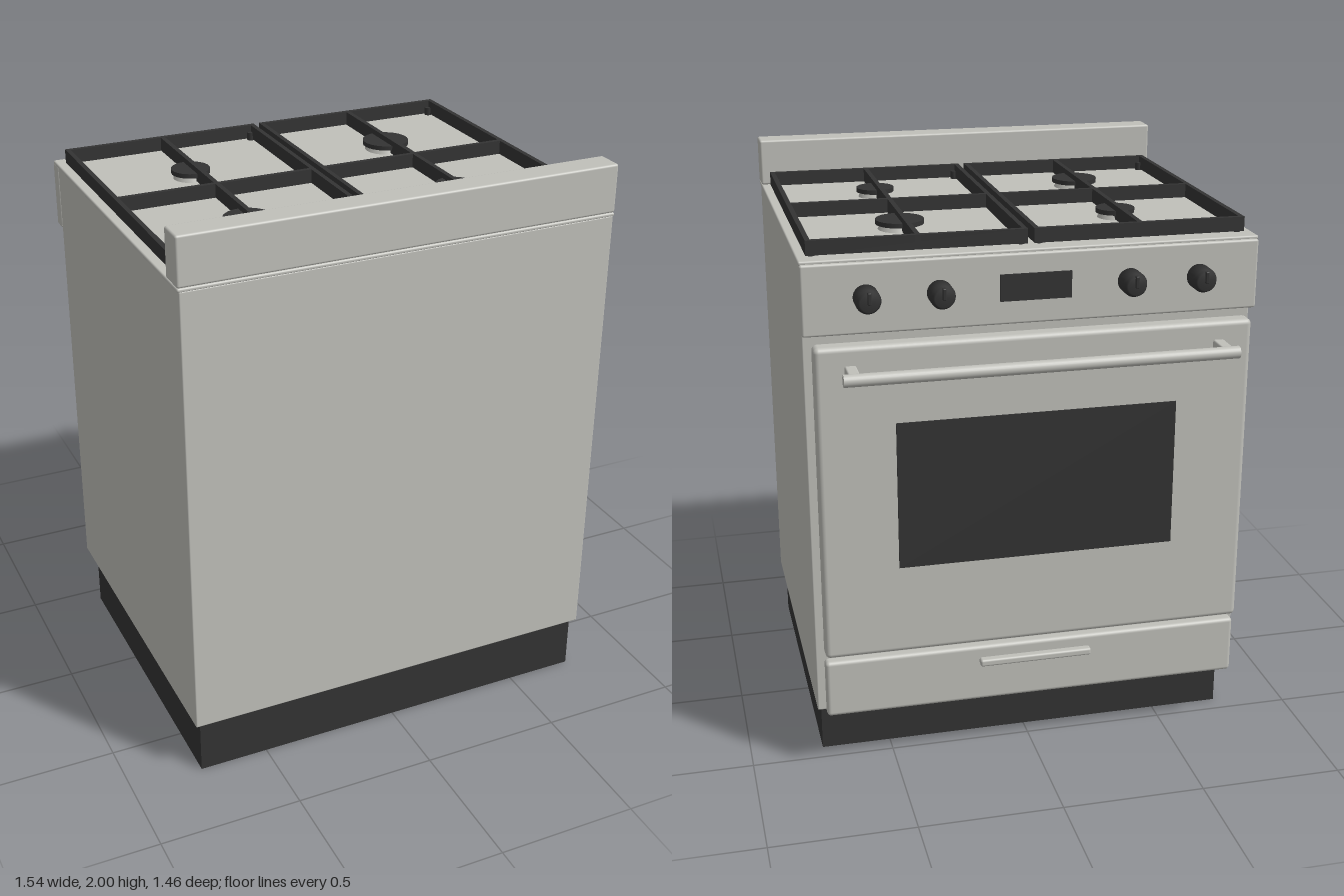
import * as THREE from 'three';
import { RoundedBoxGeometry } from 'three/addons/geometries/RoundedBoxGeometry.js';

const steel = new THREE.MeshStandardMaterial({ color: 0xc0c0ba });
steel.name = 'brushed steel';
const iron = new THREE.MeshStandardMaterial({ color: 0x333333 });
iron.name = 'black iron';

export function createModel() {
  const model = new THREE.Group();
  model.name = 'kitchenRange';

  const add = (parent, name, geometry, material) => {
    const mesh = new THREE.Mesh(geometry, material);
    mesh.name = name;
    parent.add(mesh);
    return mesh;
  };
  // Box given by its limits on each axis; r rounds the edges
  const box = (parent, name, material, [x0, x1], [y0, y1], [z0, z1], r = 0) => {
    const s = [x1 - x0, y1 - y0, z1 - z0];
    const g = r ? new RoundedBoxGeometry(...s, 3, r) : new THREE.BoxGeometry(...s);
    add(parent, name, g, material).position.set((x0 + x1) / 2, (y0 + y1) / 2, (z0 + z1) / 2);
  };

  // Cabinet; the oven door is on the -z side
  box(model, 'plinth', iron, [-0.745, 0.745], [0, 0.205], [-0.435, 0.71]);
  box(model, 'body', steel, [-0.765, 0.765], [0.2, 1.822], [-0.515, 0.73], 0.005);
  box(model, 'cooktop', steel, [-0.77, 0.77], [1.818, 1.832], [-0.555, 0.73], 0.006);
  box(model, 'backguard', steel, [-0.77, 0.77], [1.832, 2], [0.632, 0.73], 0.008);
  box(model, 'controlPanel', steel, [-0.768, 0.768], [1.585, 1.822], [-0.567, -0.513], 0.008);
  box(model, 'display', iron, [-0.12, 0.12], [1.665, 1.755], [-0.574, -0.566]);

  // Oven door with window and bar handle
  box(model, 'ovenDoor', steel, [-0.74, 0.74], [0.45, 1.56], [-0.615, -0.547], 0.018);
  box(model, 'ovenWindow', iron, [-0.48, 0.48], [0.77, 1.29], [-0.619, -0.613]);
  const handle = new THREE.Group();
  handle.name = 'doorHandle';
  model.add(handle);
  const bar = add(handle, 'handleBar', new THREE.CylinderGeometry(0.021, 0.021, 1.32, 24), steel);
  bar.rotation.z = Math.PI / 2;
  bar.position.set(0, 1.48, -0.71);
  for (const x of [-0.623, 0.623]) {
    box(handle, 'handleBracket', steel, [x - 0.019, x + 0.019], [1.463, 1.497], [-0.71, -0.61], 0.006);
  }

  // Storage drawer
  box(model, 'drawer', steel, [-0.74, 0.74], [0.215, 0.425], [-0.595, -0.547], 0.014);
  box(model, 'drawerPull', steel, [-0.2, 0.2], [0.357, 0.383], [-0.622, -0.59], 0.008);

  // Control knobs, turned around y and tipped to face -z
  const profile = [[0, 0], [0.042, 0], [0.042, 0.055], [0.037, 0.06], [0.035, 0.073], [0.03, 0.079], [0, 0.079]];
  const knobGeometry = new THREE.LatheGeometry(profile.map(([x, y]) => new THREE.Vector2(x, y)), 28);
  for (const x of [-0.56, -0.32, 0.32, 0.56]) {
    const knob = new THREE.Group();
    knob.name = 'knob';
    knob.position.set(x, 1.708, -0.566);
    model.add(knob);
    add(knob, 'knobBody', knobGeometry, iron).rotation.x = -Math.PI / 2;
    box(knob, 'knobPointer', iron, [-0.006, 0.006], [-0.005, 0.035], [-0.087, -0.07], 0.003);
  }

  // Burners: steel base under a black cap
  for (const [x, z, r] of [[-0.383, -0.18, 0.068], [0.38, -0.18, 0.083], [-0.383, 0.345, 0.083], [0.38, 0.345, 0.068]]) {
    const burner = new THREE.Group();
    burner.name = 'burner';
    burner.position.set(x, 1.832, z);
    model.add(burner);
    add(burner, 'burnerBase', new THREE.CylinderGeometry(r * 0.8, r * 0.9, 0.018, 36), steel).position.y = 0.009;
    add(burner, 'burnerCap', new THREE.CylinderGeometry(r, r, 0.016, 36), iron).position.y = 0.026;
  }

  // Cast grates: a frame, a cross and corner feet on each half
  const w = 0.017, y = [1.836, 1.885], z0 = -0.5, z1 = 0.608;
  for (const cx of [-0.375, 0.375]) {
    const grate = new THREE.Group();
    grate.name = 'grate';
    model.add(grate);
    const x0 = cx - 0.364, x1 = cx + 0.364;
    for (const x of [x0, cx - w / 2, x1 - w]) box(grate, 'grateBar', iron, [x, x + w], y, [z0, z1]);
    for (const z of [z0, 0.052 - w / 2, z1 - w]) box(grate, 'grateCrossBar', iron, [x0, x1], y, [z, z + w]);
    for (const x of [x0 + 0.02, x1 - 0.02]) for (const z of [z0 + 0.02, z1 - 0.02]) {
      add(grate, 'grateFoot', new THREE.CylinderGeometry(0.014, 0.014, 0.03, 14), iron).position.set(x, 1.846, z);
    }
  }
  return model;
}
